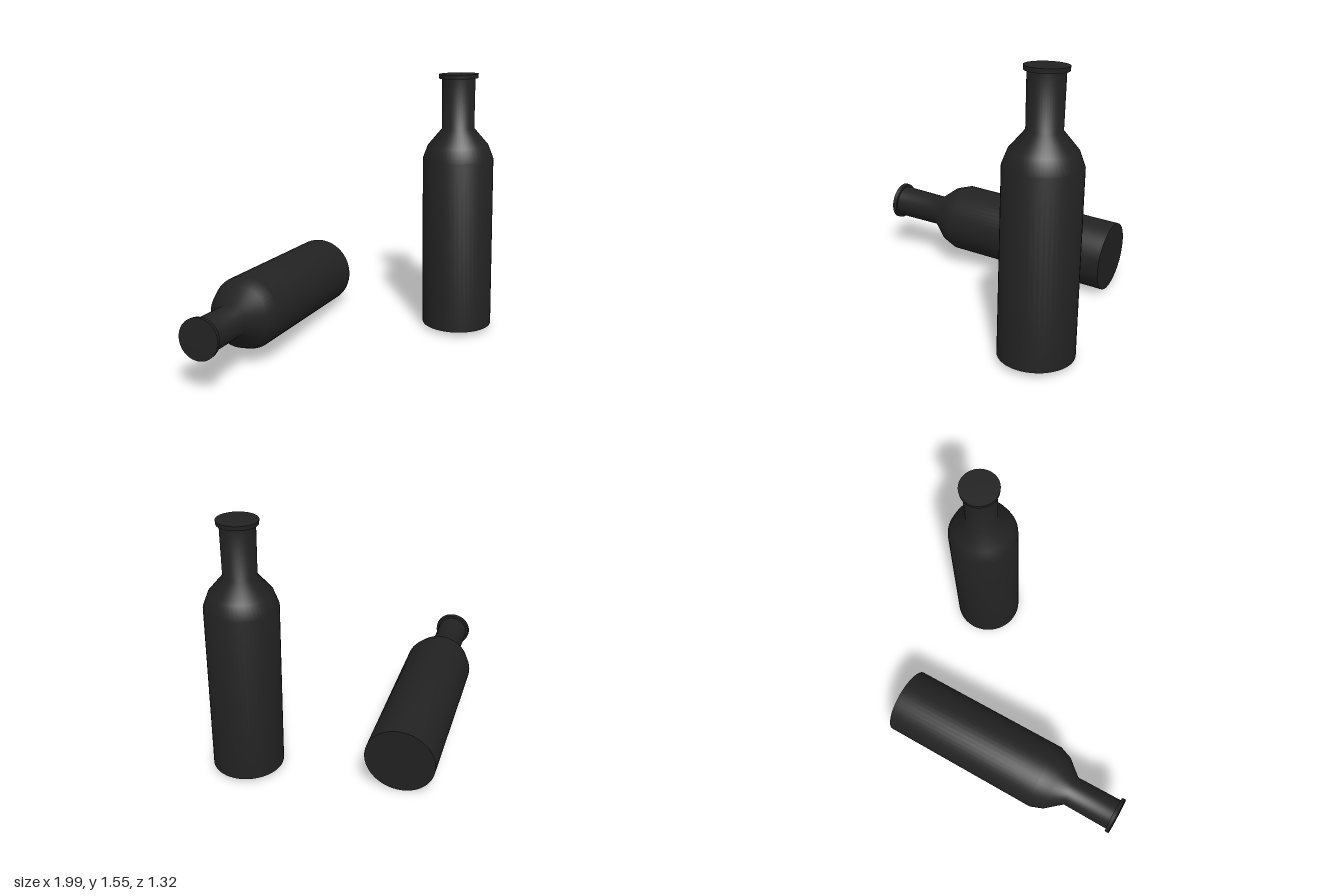
import * as THREE from 'three';
import { toCreasedNormals } from 'three/addons/utils/BufferGeometryUtils.js';

// Bottle outline: radius, height along the axis
const PROFILE = [
  [0, 0], [0.208, 0],                      // flat base
  [0.208, 1.025], [0.178, 1.105],          // body and shoulder
  [0.094, 1.205], [0.097, 1.498],          // neck
  [0.113, 1.498], [0.115, 1.522], [0, 1.525], // lip and closed top
];

export function createModel() {
  const model = new THREE.Group();
  model.name = 'bottles';

  const glass = new THREE.MeshStandardMaterial({ color: 0x222222 });
  const points = PROFILE.map(([r, y]) => new THREE.Vector2(r, y));
  // Smooth shoulder, sharp base and lip
  const geometry = toCreasedNormals(new THREE.LatheGeometry(points, 48), 1.0);

  // Places a bottle with its base centre at one point and its top towards another
  function addBottle(name, base, top) {
    const bottle = new THREE.Mesh(geometry, glass);
    bottle.name = name;
    bottle.position.copy(base);
    const axis = top.clone().sub(base).normalize();
    bottle.quaternion.setFromUnitVectors(new THREE.Vector3(0, 1, 0), axis);
    model.add(bottle);
  }

  addBottle('standingBottle', new THREE.Vector3(0.79, 0.027, 0.158), new THREE.Vector3(0.769, 1.552, 0.104));
  addBottle('lyingBottle', new THREE.Vector3(0.135, 0.21, -0.525), new THREE.Vector3(-0.912, 0.327, 0.58));

  return model;
}
